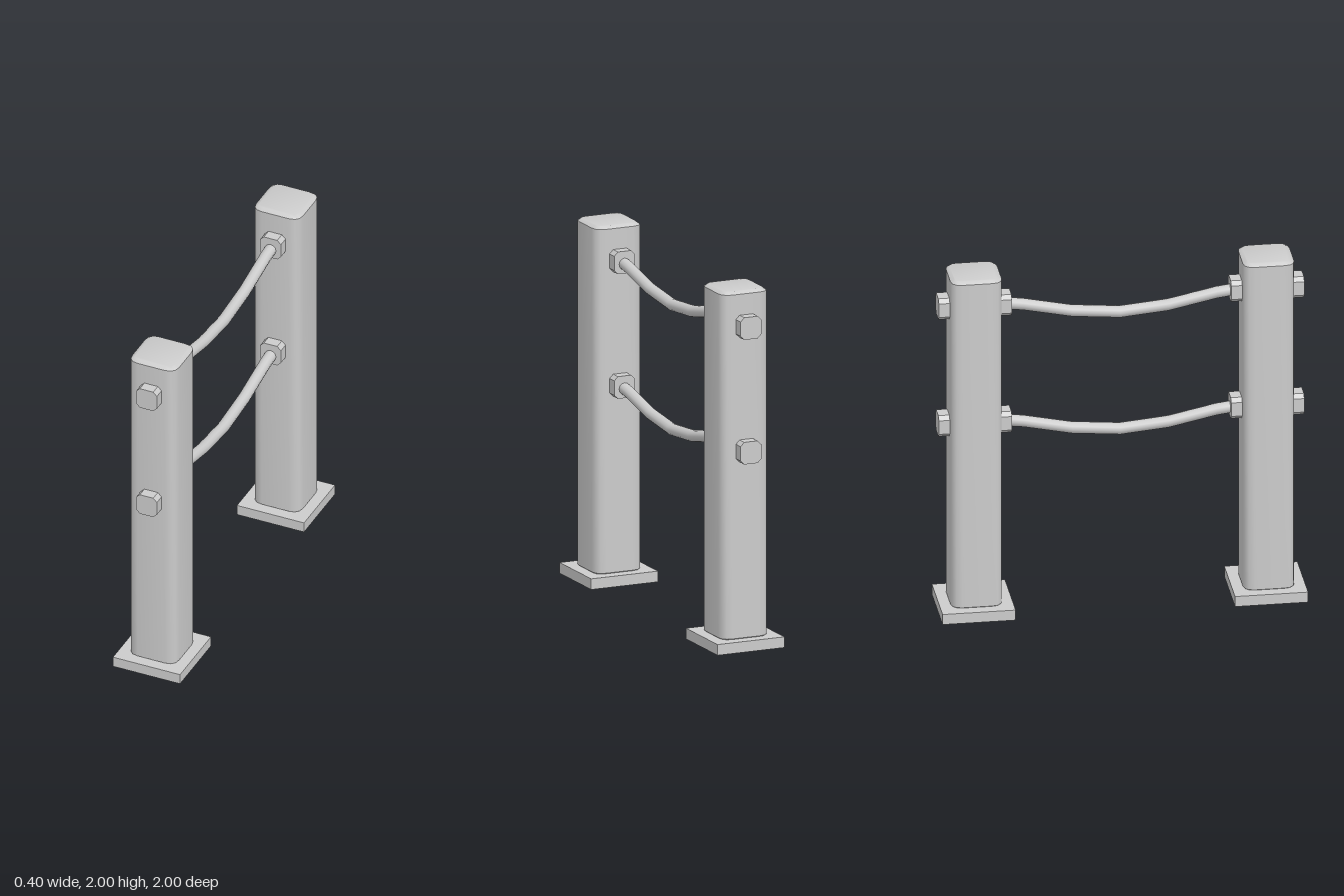
import * as THREE from 'three';
import { toCreasedNormals } from 'three/addons/utils/BufferGeometryUtils.js';

const material = new THREE.MeshStandardMaterial({ color: 0xcccccc });

function addPart(parent, name, geometry, x, y, z) {
  const mesh = new THREE.Mesh(geometry, material);
  mesh.name = name;
  mesh.position.set(x, y, z);
  parent.add(mesh);
}

// Square outline of half width h with corners cut back by r
function squareShape(h, r) {
  const s = new THREE.Shape();
  s.moveTo(h, r - h);
  s.lineTo(h, h - r);
  s.quadraticCurveTo(h, h, h - r, h);
  s.lineTo(r - h, h);
  s.quadraticCurveTo(-h, h, -h, h - r);
  s.lineTo(-h, r - h);
  s.quadraticCurveTo(-h, -h, r - h, -h);
  s.lineTo(h - r, -h);
  s.quadraticCurveTo(h, -h, h, r - h);
  return s;
}

// Upright rounded post with a softly bevelled top
function postGeometry() {
  const bevel = 0.015;
  const g = new THREE.ExtrudeGeometry(squareShape(0.14, 0.06), {
    depth: 1.95 - 2 * bevel, curveSegments: 3,
    bevelEnabled: true, bevelThickness: bevel, bevelSize: 0.02, bevelOffset: -0.02, bevelSegments: 1,
  });
  g.rotateX(-Math.PI / 2);
  g.translate(0, 0.05 + bevel, 0);
  return toCreasedNormals(g, 0.8);
}

// Sagging rope: each ring of a cylinder is moved to a knot of the sag line
function ropeGeometry() {
  const knots = [[-0.65, 0], [-0.53, -0.015], [-0.265, -0.071], [0, -0.095],
    [0.265, -0.071], [0.53, -0.015], [0.65, 0]];
  const rows = knots.length - 1;
  const g = new THREE.CylinderGeometry(0.033, 0.033, rows, 12, rows, true);
  g.rotateX(Math.PI / 2);
  const p = g.attributes.position;
  for (let i = 0; i < p.count; i++) {
    const [z, drop] = knots[Math.round(p.getZ(i) + rows / 2)];
    p.setXYZ(i, p.getX(i), p.getY(i) + drop, z);
  }
  return toCreasedNormals(g, 1);
}

export function createModel() {
  const group = new THREE.Group();
  group.name = 'ropeFence';
  const plate = new THREE.BoxGeometry(0.4, 0.06, 0.4);
  const post = postGeometry();
  const rope = ropeGeometry();
  const block = new THREE.ExtrudeGeometry(squareShape(0.062, 0.022), {
    depth: 0.4, curveSegments: 1, bevelEnabled: false,
  });
  block.translate(0, 0, -0.2);
  const heights = [1.11, 1.806];

  // Posts on base plates, with chamfered blocks passing through
  for (const [side, z] of [['front', 0.8], ['back', -0.8]]) {
    addPart(group, side + 'BasePlate', plate, 0, 0.03, z);
    addPart(group, side + 'Post', post, 0, 0, z);
    heights.forEach((y, i) => addPart(group, side + (i ? 'UpperBlock' : 'LowerBlock'), block, 0, y, z));
  }

  // Ropes hung between the blocks
  heights.forEach((y, i) => addPart(group, i ? 'upperRope' : 'lowerRope', rope, 0, y + 0.005 - 0.008, 0));
  return group;
}
